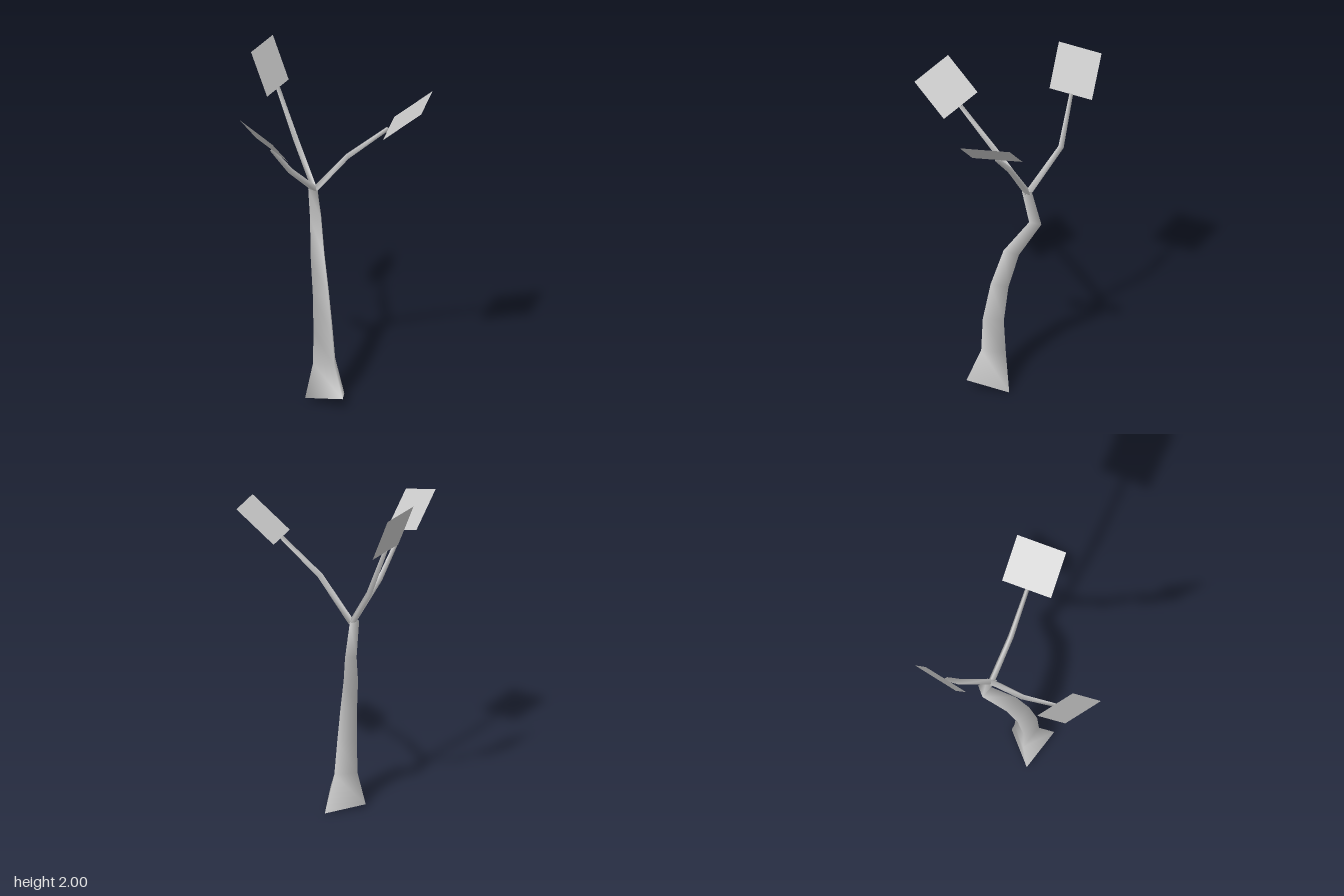
import * as THREE from 'three';

const V = (x, y, z) => new THREE.Vector3(x, y, z);

// Smooth skin over a stack of equal-sized rings (each counterclockwise along the path)
function loft(rings) {
  const n = rings[0].length, index = [];
  for (let i = 0; i < rings.length - 1; i++) {
    for (let j = 0; j < n; j++) {
      const a = i * n + j, b = i * n + (j + 1) % n;
      index.push(a, b, a + n, b, b + n, a + n);
    }
  }
  const g = new THREE.BufferGeometry().setFromPoints(rings.flat());
  g.setIndex(index);
  g.computeVertexNormals();
  return g;
}

// Three-sided tapering tube through the given points
function branchGeometry(points, radii) {
  const up = V(0, 1, 0);
  return loft(points.map((p, i) => {
    const t = points[Math.min(i + 1, points.length - 1)].clone()
      .sub(points[Math.max(i - 1, 0)]).normalize();
    const u = up.clone().cross(t).normalize(), v = t.clone().cross(u);
    return [0, 1, 2].map(k => {
      const a = Math.PI / 2 + k * Math.PI * 2 / 3;
      return p.clone().addScaledVector(u, Math.cos(a) * radii[i])
        .addScaledVector(v, Math.sin(a) * radii[i]);
    });
  }));
}

// Flat four-cornered leaf
function leafGeometry(corners) {
  const g = new THREE.BufferGeometry().setFromPoints(corners);
  g.setIndex([0, 1, 2, 0, 2, 3]);
  g.computeVertexNormals();
  return g;
}

export function createModel() {
  const tree = new THREE.Group();
  tree.name = 'tree';
  const grey = new THREE.MeshStandardMaterial({ color: 0xcccccc, side: THREE.DoubleSide });
  grey.name = 'plain grey';
  const add = (name, geometry) => {
    const m = new THREE.Mesh(geometry, grey);
    m.name = name;
    tree.add(m);
  };

  // Trunk: triangular sections [x, y, z, radius, tilt], open at the flared foot
  const dirs = [[-0.76, 0.65], [0.95, 0.31], [-0.18, -0.98]];
  const sections = [
    [0.062, 0.23, -0.033, 0.082, 0.12],
    [0.057, 0.43, -0.025, 0.070, 0.1],
    [0.023, 0.64, -0.040, 0.059, 0.25],
    [-0.036, 0.84, -0.074, 0.051, 0.45],
    [-0.139, 1.03, -0.163, 0.041, 0.25],
    [-0.119, 1.225, -0.115, 0.033, 0],
  ];
  const foot = [V(-0.015, 0.02, 0.07), V(0.23, 0.068, 0.02), V(0.07, 0, -0.165)];
  add('trunk', loft([foot, ...sections.map(([x, y, z, r, tilt]) =>
    dirs.map(([dx, dz]) => V(x + dx * r, y + dx * r * tilt, z + dz * r)))]));

  // Three branches from the fork, each carrying one leaf
  const fork = V(-0.115, 1.215, -0.125);
  const limbs = [
    { name: 'right', path: [V(-0.32, 1.46, -0.18), V(-0.43, 1.75, -0.148)],
      leaf: [V(-0.57, 2, -0.255), V(-0.49, 2, 0.012), V(-0.39, 1.745, -0.015), V(-0.47, 1.745, -0.28)] },
    { name: 'front', path: [V(-0.085, 1.41, 0.11), V(-0.025, 1.632, 0.332)],
      leaf: [V(-0.155, 1.67, 0.33), V(0.105, 1.595, 0.335), V(0.155, 1.78, 0.525), V(-0.105, 1.855, 0.52)] },
    { name: 'left', path: [V(0.08, 1.46, -0.19), V(0.292, 1.66, -0.296)],
      leaf: [V(0.365, 1.65, -0.17), V(0.565, 1.835, -0.275), V(0.415, 1.855, -0.53), V(0.215, 1.67, -0.425)] },
  ];
  for (const { name, path, leaf } of limbs) {
    add(name + 'Branch', branchGeometry([fork, ...path], [0.021, 0.019, 0.014]));
    add(name + 'Leaf', leafGeometry(leaf));
  }
  return tree;
}
